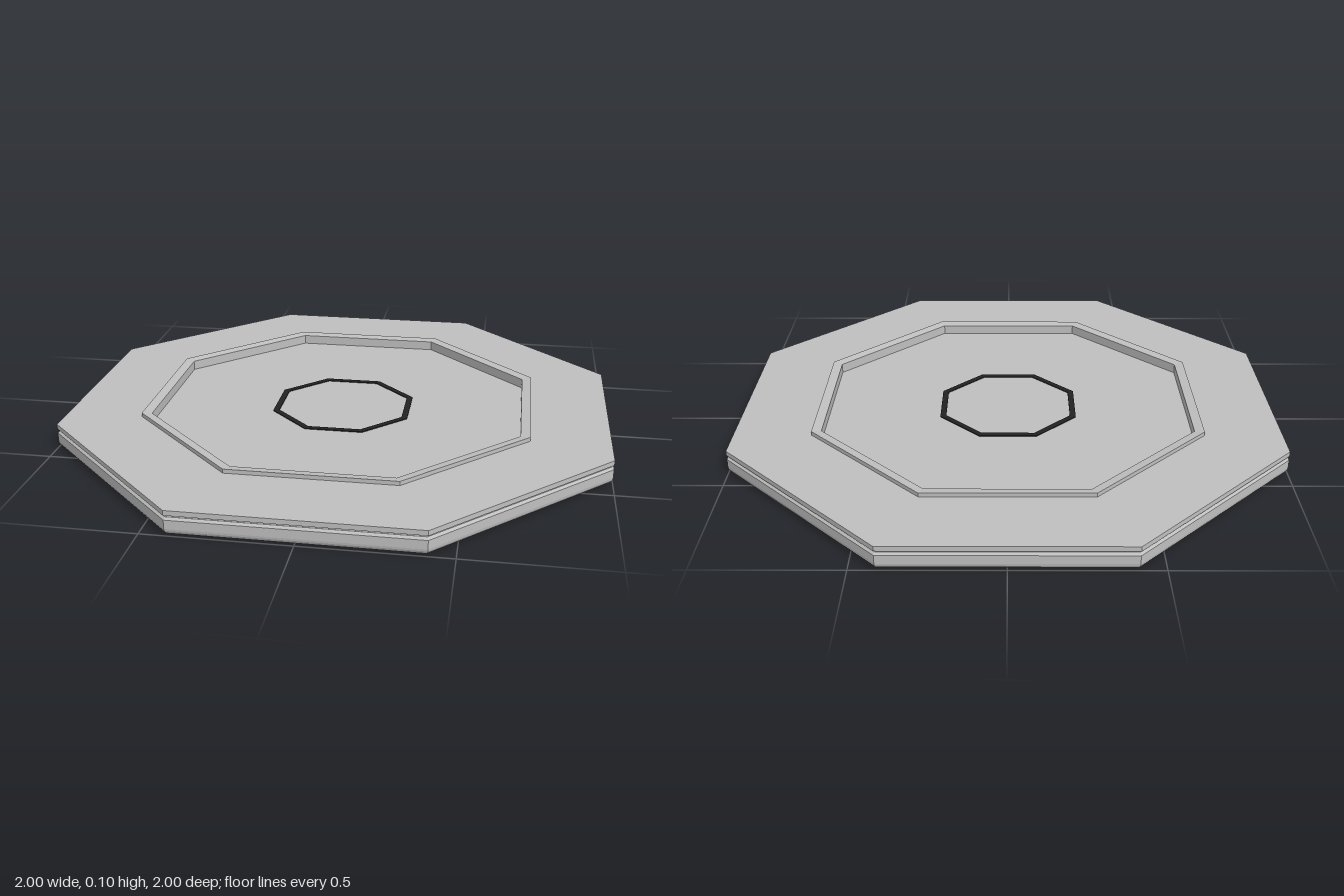
import * as THREE from 'three';

const SIDES = 8;
const CORNER = 1 / Math.cos(Math.PI / SIDES); // flat-side distance to corner radius

// Revolve an [apothem, height] profile into an octagonal solid with flat sides on the axes
function octagon(name, profile, material) {
  const points = profile.map(([r, y]) => new THREE.Vector2(r * CORNER, y));
  const geometry = new THREE.LatheGeometry(points, SIDES, Math.PI / SIDES).toNonIndexed();
  geometry.computeVertexNormals();
  const mesh = new THREE.Mesh(geometry, material);
  mesh.name = name;
  return mesh;
}

export function createModel() {
  const grey = new THREE.MeshStandardMaterial({ color: 0xbfbfbf });
  grey.name = 'plate grey';
  const black = new THREE.MeshStandardMaterial({ color: 0x222222 });
  black.name = 'marking black';

  const group = new THREE.Group();
  group.name = 'octagonalPlatform';

  // Lower slab with a rounded bottom edge; its top is the recessed floor
  const fillet = [];
  for (let i = 0; i <= 5; i++) {
    const a = (i / 5) * Math.PI / 2;
    fillet.push([0.975 + 0.025 * Math.sin(a), 0.025 - 0.025 * Math.cos(a)]);
  }
  group.add(octagon('base', [
    [0, 0], ...fillet, [1, 0.056], [0.992, 0.064], [0, 0.064],
  ], grey));

  // Upper ring slab, set off by a narrow groove
  group.add(octagon('deck', [
    [0.68, 0.064], [0.985, 0.064], [0.985, 0.07], [1, 0.072], [1, 0.09], [0.68, 0.09], [0.68, 0.064],
  ], grey));

  // Raised lip around the recess, sloping gently inward
  group.add(octagon('rim', [
    [0.68, 0.09], [0.715, 0.09], [0.715, 0.105], [0.68, 0.1], [0.68, 0.09],
  ], grey));

  // Painted octagon outline on the floor
  group.add(octagon('centreMarking', [
    [0.235, 0.064], [0.257, 0.064], [0.257, 0.067], [0.235, 0.067], [0.235, 0.064],
  ], black));

  return group;
}
